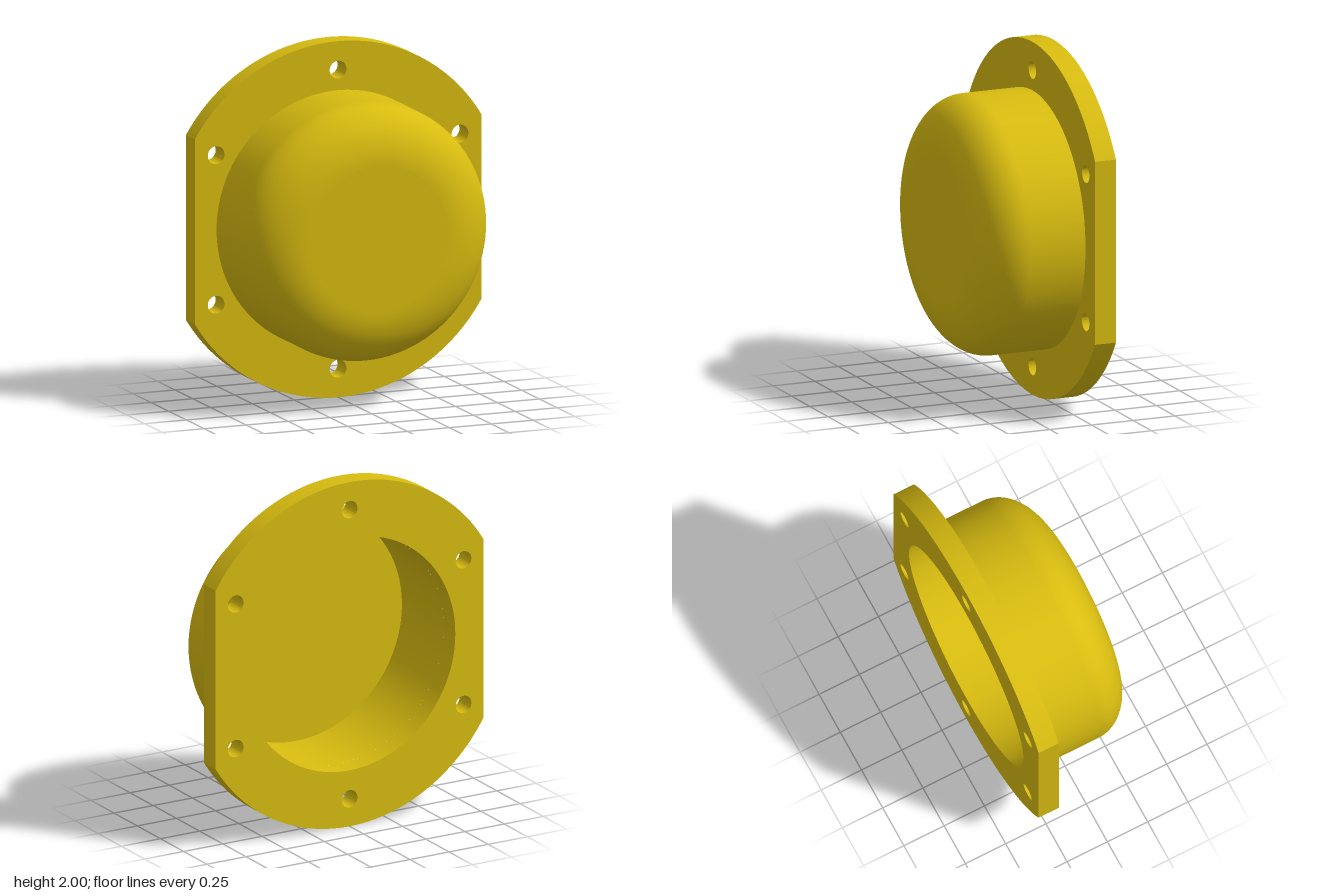
import * as THREE from 'three';
import { toCreasedNormals } from 'three/addons/utils/BufferGeometryUtils.js';

const BACK = -0.35, FRONT = 0.35, THICK = 0.125;
const OUTER_R = 0.725, INNER_R = 0.675;

export function createModel() {
  const yellow = new THREE.MeshStandardMaterial({ color: 0xd8bc10 });
  yellow.name = 'yellow';

  const model = new THREE.Group();
  model.name = 'flangedCap';

  const add = (name, geometry, parent) => {
    const mesh = new THREE.Mesh(geometry, yellow);
    mesh.name = name;
    parent.add(mesh);
  };

  // Mounting flange: a disc with two flat sides, a bore and six bolt holes
  const a = Math.acos(0.855);
  const outline = new THREE.Shape();
  outline.absarc(0, 0, 1, a, Math.PI - a);
  outline.absarc(0, 0, 1, Math.PI + a, 2 * Math.PI - a);
  outline.closePath();
  const addHole = (x, y, r) =>
    outline.holes.push(new THREE.Path().absarc(x, y, r, 0, Math.PI * 2, true));
  addHole(0, 0, INNER_R);
  for (let i = 0; i < 6; i++) {
    const t = Math.PI / 6 + (i * Math.PI) / 3;
    addHole(0.84 * Math.cos(t), 0.84 * Math.sin(t), 0.05);
  }
  const flange = new THREE.ExtrudeGeometry(outline, {
    depth: THICK, bevelEnabled: false, curveSegments: 64,
  });
  flange.translate(0, 0, BACK);
  add('flange', toCreasedNormals(flange, 0.5), model);

  // Cup: each surface is revolved about z from [radius, z] pairs
  const cup = new THREE.Group();
  cup.name = 'cup';
  model.add(cup);
  const revolve = (name, pairs) => {
    const points = pairs.map(([r, z]) => new THREE.Vector2(r, z));
    add(name, new THREE.LatheGeometry(points, 96).rotateX(Math.PI / 2), cup);
  };

  // Straight wall and elliptical shoulder
  const filletR = 0.31, filletZ = 0.24, flatR = OUTER_R - filletR;
  const shoulder = [];
  for (let i = 0; i <= 20; i++) {
    const t = (i / 20) * Math.PI / 2;
    shoulder.push([flatR + filletR * Math.cos(t), FRONT - filletZ + filletZ * Math.sin(t)]);
  }
  revolve('outerWall', [[OUTER_R, BACK + THICK], [OUTER_R, FRONT - filletZ]]);
  revolve('roundedShoulder', shoulder);
  revolve('frontFace', [[flatR, FRONT], [0, FRONT]]);

  // Hollow inside, open at the back
  const floorZ = FRONT - THICK;
  revolve('cavityFloor', [[0, floorZ], [INNER_R, floorZ]]);
  revolve('cavityWall', [[INNER_R, floorZ], [INNER_R, BACK + THICK]]);

  model.position.y = 1;
  return model;
}
